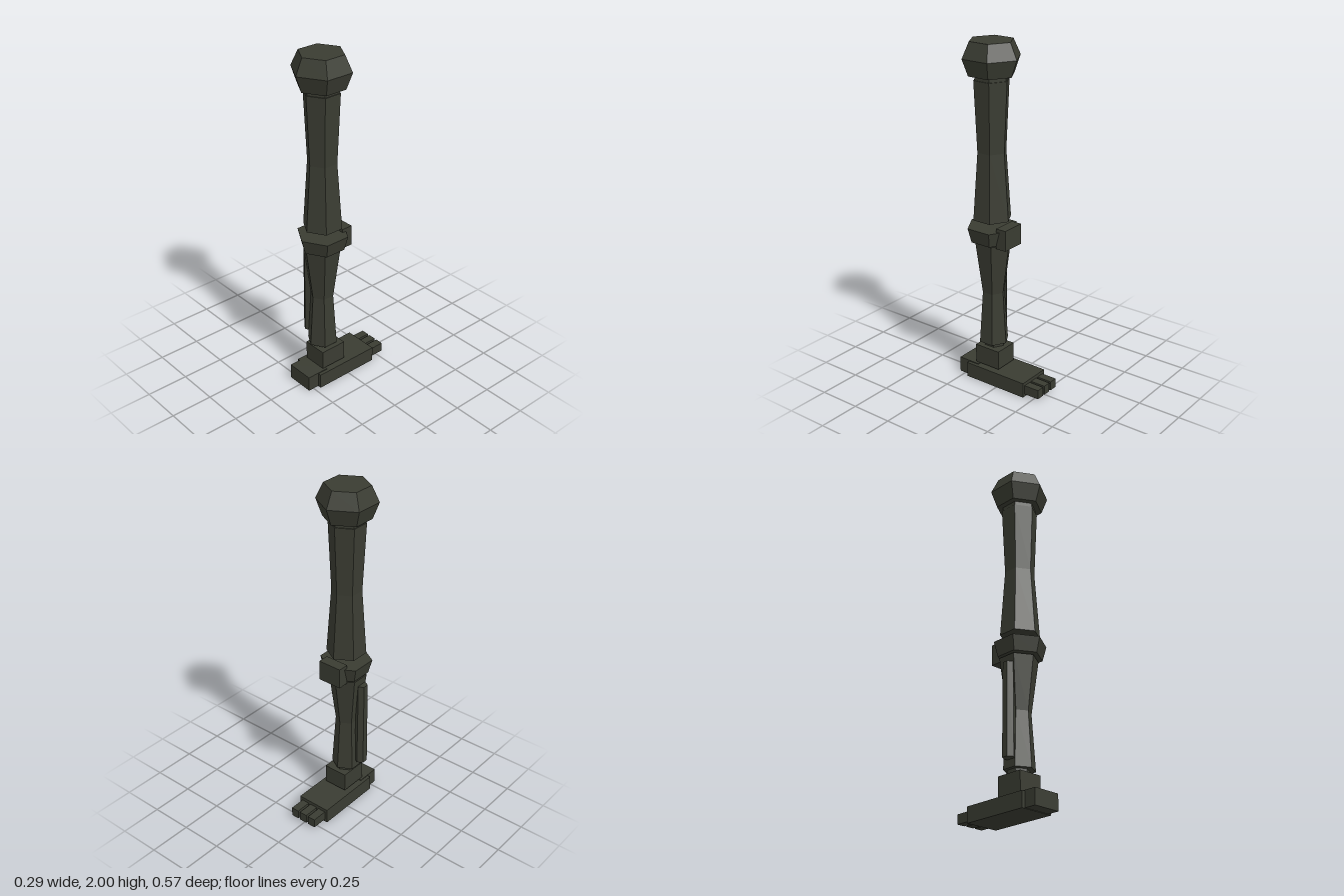
import * as THREE from 'three';

const AXIS_Z = 0.104;
const material = new THREE.MeshStandardMaterial({ color: 0x3a3c32, flatShading: true });

export function createModel() {
  const model = new THREE.Group();

  const add = (name, geometry, x, y, z) => {
    const mesh = new THREE.Mesh(geometry, material);
    mesh.name = name;
    mesh.position.set(x, y, z);
    model.add(mesh);
    return mesh;
  };

  // Box given by its limits on each axis
  const box = (name, [x0, x1], [y0, y1], [z0, z1]) =>
    add(name, new THREE.BoxGeometry(x1 - x0, y1 - y0, z1 - z0),
      (x0 + x1) / 2, (y0 + y1) / 2, (z0 + z1) / 2);

  // Closed six-sided column through [radius, height] rings, bottom to top
  const hexColumn = (name, rings, x = 0, z = AXIS_Z) => {
    const profile = [[0, rings[0][1]], ...rings, [0, rings[rings.length - 1][1]]];
    const points = profile.map(([r, y]) => new THREE.Vector2(r, y));
    return add(name, new THREE.LatheGeometry(points, 6), x, 0, z);
  };

  // Hip joint and thigh
  hexColumn('hipJoint', [[0.133, 1.815], [0.168, 1.91], [0.126, 2]]);
  hexColumn('hipNeck', [[0.098, 1.78], [0.098, 1.83]]);
  hexColumn('thigh', [[0.113, 1], [0.085, 1.39], [0.104, 1.79]]);

  // Knee
  hexColumn('kneeCollar', [[0.125, 0.87], [0.148, 0.955]]);
  box('kneePad', [-0.073, 0.073], [0.855, 0.975], [-0.043, 0.022]);

  // Shin with the strut along its outer side
  hexColumn('shin', [[0.088, 0.235], [0.067, 0.55], [0.109, 0.858]], -0.01);
  hexColumn('shinStrut', [[0.036, 0.28], [0.033, 0.81]], -0.102, 0.12);

  // Ankle
  hexColumn('ankleNeck', [[0.062, 0.2], [0.062, 0.245]], -0.01, 0.097);
  box('ankle', [-0.073, 0.073], [0.1, 0.213], [0.008, 0.172]);

  // Foot, heel and toes
  box('foot', [-0.103, 0.103], [0, 0.09], [-0.192, 0.215]);
  box('heel', [-0.083, 0.083], [0.003, 0.095], [0.15, 0.285]);
  for (const x of [-0.062, 0, 0.062]) {
    box('toe', [x - 0.024, x + 0.024], [0.015, 0.07], [-0.285, -0.18]);
  }

  return model;
}
